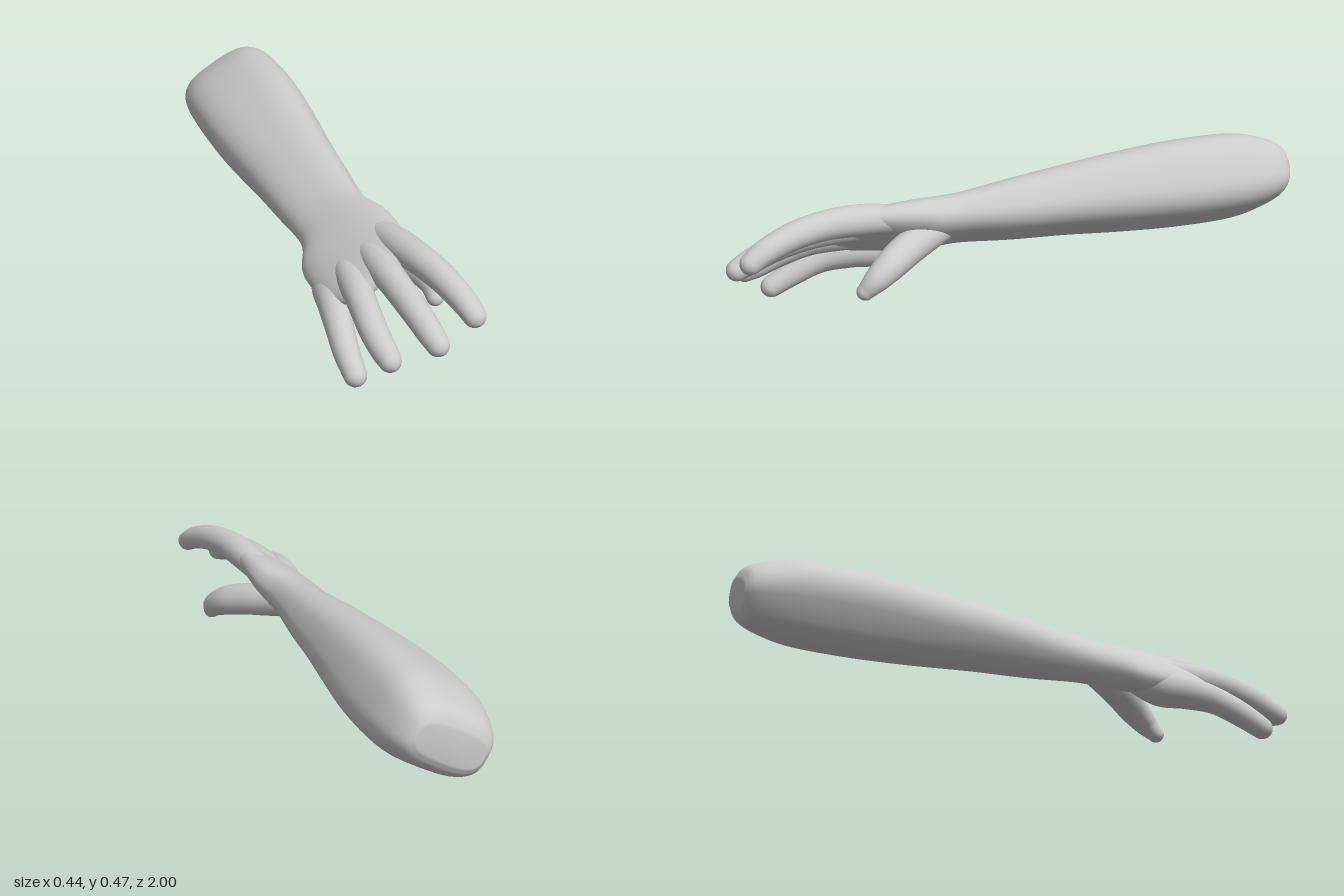
import * as THREE from 'three';

const SIDES = 48;

// Skin a list of rings (arrays of Vector3, counter-clockwise about the travel direction), closed by two poles
function skin(rings, startPole, endPole) {
  const n = rings[0].length, index = [], pts = [...rings.flat(), startPole, endPole];
  const at = (i, j) => i * n + (j % n);
  const s = rings.length * n, e = s + 1, last = rings.length - 1;
  for (let j = 0; j < n; j++) {
    for (let i = 0; i < last; i++) {
      const a = at(i, j), b = at(i, j + 1), c = at(i + 1, j), d = at(i + 1, j + 1);
      index.push(a, b, c, b, d, c);
    }
    index.push(s, at(0, j + 1), at(0, j), e, at(last, j), at(last, j + 1));
  }
  const geo = new THREE.BufferGeometry().setFromPoints(pts);
  geo.setIndex(index);
  geo.computeVertexNormals();
  return geo;
}

// Rounded-box cross-sections along z: [z, centre x, centre y, half width, half height, tilt in degrees, squareness]
function loft(sections, steps) {
  const size = sections[0].length;
  const spline = new THREE.CubicInterpolant(sections.map((_, i) => i), sections.flat(), size, new Float32Array(size));
  const rings = [], centres = [];
  const count = (sections.length - 1) * steps;
  for (let i = 0; i <= count; i++) {
    const [z, cx, cy, a, b, deg, p] = spline.evaluate(i / steps);
    const t = THREE.MathUtils.degToRad(deg), ring = [];
    for (let j = 0; j < SIDES; j++) {
      const w = (j / SIDES) * Math.PI * 2, c = Math.cos(w), s = Math.sin(w);
      const u = a * Math.sign(c) * Math.abs(c) ** (2 / p);
      const v = b * Math.sign(s) * Math.abs(s) ** (2 / p);
      ring.push(new THREE.Vector3(cx + u * Math.cos(t) - v * Math.sin(t), cy + u * Math.sin(t) + v * Math.cos(t), z));
    }
    rings.push(ring);
    centres.push(new THREE.Vector3(cx, cy, z));
  }
  return skin(rings, centres[0], centres[count]);
}

// Tapered round-ended digit through points [x, y, z, radius]
function digit(points) {
  const curve = new THREE.CatmullRomCurve3(points.map(([x, y, z]) => new THREE.Vector3(x, y, z)));
  const steps = 36, caps = 7, rings = [];
  const { tangents, normals, binormals } = curve.computeFrenetFrames(steps);
  const radii = new THREE.CatmullRomCurve3(points.map((p, i) => new THREE.Vector3(i, p[3], 0)));
  const centre = (k) => curve.getPointAt(k / steps);
  const radius = (k) => radii.getPoint(curve.getUtoTmapping(k / steps)).y;
  const addRing = (k, shift, r) => {
    const c = centre(k).addScaledVector(tangents[k], shift), ring = [];
    for (let j = 0; j < 24; j++) {
      const w = (j / 24) * Math.PI * 2;
      ring.push(c.clone().addScaledVector(normals[k], r * Math.cos(w)).addScaledVector(binormals[k], r * Math.sin(w)));
    }
    rings.push(ring);
  };
  const r0 = radius(0), r1 = radius(steps), angle = (k) => (k / caps) * Math.PI / 2;
  for (let k = caps - 1; k > 0; k--) addRing(0, -r0 * Math.sin(angle(k)), r0 * Math.cos(angle(k)));
  for (let k = 0; k <= steps; k++) addRing(k, 0, radius(k));
  for (let k = 1; k < caps; k++) addRing(steps, r1 * Math.sin(angle(k)), r1 * Math.cos(angle(k)));
  return skin(rings, centre(0).addScaledVector(tangents[0], -r0), centre(steps).addScaledVector(tangents[steps], r1));
}

export function createModel() {
  const group = new THREE.Group();
  const material = new THREE.MeshStandardMaterial({ color: 0xcccccc });
  const add = (name, geometry) => {
    const mesh = new THREE.Mesh(geometry, material);
    mesh.name = name;
    group.add(mesh);
  };

  // Forearm, wrist and palm in one skin, from the chamfered end to the finger webs
  add('forearmAndPalm', loft([
    [-1.0, -0.028, 0.285, 0.122, 0.052, 30, 3],
    [-0.975, -0.028, 0.287, 0.152, 0.092, 30, 3],
    [-0.91, -0.027, 0.289, 0.175, 0.12, 30, 3],
    [-0.8, -0.027, 0.292, 0.187, 0.142, 30, 3],
    [-0.6, -0.027, 0.29, 0.188, 0.144, 30, 3],
    [-0.4, -0.03, 0.284, 0.175, 0.133, 31, 2.8],
    [-0.2, -0.032, 0.277, 0.157, 0.115, 32, 2.7],
    [0.0, -0.032, 0.267, 0.143, 0.098, 33, 2.6],
    [0.18, -0.032, 0.259, 0.13, 0.077, 35, 2.5],
    [0.27, -0.034, 0.253, 0.138, 0.073, 36, 2.5],
    [0.35, -0.043, 0.246, 0.168, 0.069, 36, 2.5],
    [0.44, -0.045, 0.246, 0.172, 0.061, 36, 2.4],
    [0.52, -0.043, 0.25, 0.163, 0.052, 36, 2.3],
    [0.58, -0.04, 0.254, 0.148, 0.042, 36, 2.2],
    [0.63, -0.038, 0.257, 0.125, 0.03, 36, 2.1],
    [0.655, -0.037, 0.257, 0.1, 0.012, 36, 2],
  ], 4));

  // Four fingers rising gradually from the back of the palm, fanning out and curling down
  add('indexFinger', digit([[0.035, 0.302, 0.4, 0.045], [0.055, 0.321, 0.55, 0.053], [0.078, 0.326, 0.68, 0.05],
    [0.108, 0.311, 0.8, 0.046], [0.135, 0.277, 0.9, 0.041], [0.147, 0.252, 0.943, 0.036]]));
  add('middleFinger', digit([[-0.015, 0.267, 0.4, 0.045], [-0.015, 0.276, 0.56, 0.052], [-0.012, 0.268, 0.7, 0.048],
    [0.0, 0.241, 0.83, 0.045], [0.015, 0.205, 0.925, 0.041], [0.021, 0.188, 0.963, 0.036]]));
  add('ringFinger', digit([[-0.075, 0.225, 0.4, 0.045], [-0.095, 0.222, 0.56, 0.051], [-0.112, 0.207, 0.69, 0.047],
    [-0.119, 0.173, 0.8, 0.045], [-0.114, 0.143, 0.875, 0.041], [-0.111, 0.131, 0.91, 0.036]]));
  // The little finger starts as the fleshy heel of the palm
  add('littleFinger', digit([[-0.105, 0.19, 0.34, 0.042], [-0.128, 0.153, 0.45, 0.062], [-0.148, 0.142, 0.54, 0.057],
    [-0.171, 0.117, 0.64, 0.046], [-0.182, 0.074, 0.735, 0.042], [-0.182, 0.037, 0.808, 0.037]]));

  // Thumb, its base swelling out of the side of the wrist
  add('thumb', digit([[0.0, 0.245, 0.25, 0.045], [0.055, 0.229, 0.35, 0.055], [0.105, 0.214, 0.42, 0.056],
    [0.153, 0.19, 0.485, 0.052], [0.18, 0.153, 0.545, 0.041], [0.179, 0.12, 0.58, 0.029]]));

  return group;
}
